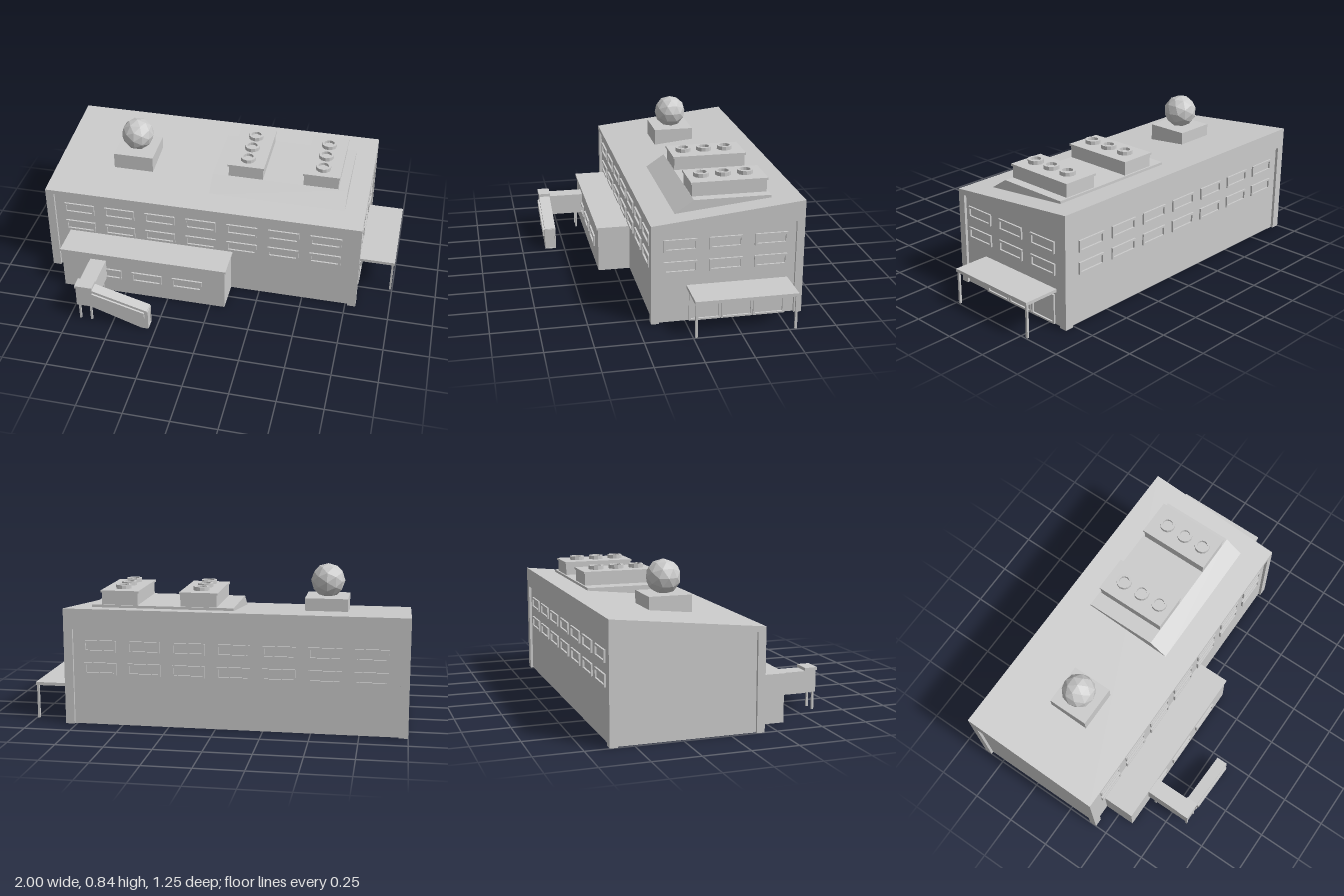
import * as THREE from 'three';

export function createModel() {
  const root = new THREE.Group();
  const mat = new THREE.MeshStandardMaterial({ color: 0xcccccc, flatShading: true });

  const add = (name, geometry, parent = root) => {
    const mesh = new THREE.Mesh(geometry, mat);
    mesh.name = name;
    parent.add(mesh);
    return mesh;
  };
  // Box given by its limits on each axis
  const box = (name, x0, x1, y0, y1, z0, z1, parent) => {
    const g = new THREE.BoxGeometry(x1 - x0, y1 - y0, z1 - z0);
    g.translate((x0 + x1) / 2, (y0 + y1) / 2, (z0 + z1) / 2);
    return add(name, g, parent);
  };
  const polygon = (pts) => new THREE.Shape(pts.map(([a, b]) => new THREE.Vector2(a, b)));
  const extrude = (shape, depth) =>
    new THREE.ExtrudeGeometry(shape, { depth, bevelEnabled: false });
  // Side profile of [z, y] points, extruded from x0 to x1
  const sideProfile = (name, pts, x0, x1) => {
    const g = extrude(polygon(pts.map(([z, y]) => [-z, y])), x1 - x0);
    g.rotateY(Math.PI / 2);
    return add(name, g.translate(x0, 0, 0));
  };
  // Front profile of [x, y] points, extruded from z0 to z1
  const frontProfile = (name, pts, z0, z1) =>
    add(name, extrude(polygon(pts), z1 - z0).translate(0, 0, z0));

  // Rectangular frame with an opening, used for windows and doors
  const frameGeometry = (w, h, border, depth) => {
    const rect = (a, b) => [[-a, -b], [a, -b], [a, b], [-a, b]];
    const shape = polygon(rect(w / 2, h / 2));
    const hole = polygon(rect(w / 2 - border, h / 2 - border));
    shape.holes.push(hole);
    return extrude(shape, depth);
  };
  const windowGeo = frameGeometry(0.175, 0.064, 0.011, 0.01);
  const addWindow = (x, y, z, turn = 0) => {
    const w = add('windowFrame', windowGeo);
    w.position.set(x, y, z);
    w.rotation.y = turn;
  };

  // Main hall: recessed walls, corner pillars, sloping roof
  const X0 = -1, X1 = 0.81, Z0 = -0.625, Z1 = 0.18, inset = 0.015;
  box('hallWalls', X0 + inset, X1 - inset, 0, 0.52, Z0 + inset, Z1 - inset);
  for (const x of [X0, X1 - 0.048])
    for (const z of [Z0, Z1 - 0.042])
      box('cornerPillar', x, x + 0.048, 0, 0.515, z, z + 0.042);
  sideProfile('slopingRoof', [[Z1, 0.515], [Z0, 0.515], [Z0, 0.625], [Z1, 0.54]], X0, X1);

  // Two rows of windows on the front, back and one end
  for (const y of [0.425, 0.305]) {
    for (let i = -3; i <= 3; i++) {
      addWindow(-0.095 + i * 0.2374, y, Z1 - inset);
      addWindow(-0.095 + i * 0.2374, y, Z0 + inset, Math.PI);
    }
    for (const z of [0.026, -0.212, -0.451]) addWindow(X1 - inset, y, z, Math.PI / 2);
  }

  // Front annex
  box('annex', -0.868, 0.083, 0, 0.25, 0.16, 0.345);
  box('annexRoof', -0.875, 0.09, 0.25, 0.262, 0.16, 0.353);
  for (const x of [-0.607, -0.37, -0.133]) addWindow(x, 0.13, 0.345);

  // Raised walkway, landing and covered ramp
  box('walkway', -0.7, -0.608, 0.097, 0.217, 0.34, 0.55);
  box('landing', -0.7, -0.608, 0.1, 0.222, 0.549, 0.61);
  box('landingCap', -0.705, -0.605, 0.22, 0.235, 0.545, 0.615);
  frontProfile('ramp',
    [[-0.61, 0.1], [-0.33, 0], [-0.295, 0], [-0.295, 0.125], [-0.61, 0.217]], 0.549, 0.613);
  frontProfile('rampSidePanel',
    [[-0.605, 0.16], [-0.31, 0.075], [-0.31, 0.115], [-0.605, 0.2]], 0.612, 0.624);
  const rampEnd = add('rampEndFrame', frameGeometry(0.064, 0.12, 0.006, 0.006));
  rampEnd.position.set(-0.296, 0.06, 0.581);
  rampEnd.rotation.y = Math.PI / 2;
  for (const x of [-0.691, -0.627])
    for (const z of [0.38, 0.595])
      box('walkwayLeg', x, x + 0.011, 0, 0.1, z, z + 0.011);

  // Loading canopy with posts
  box('canopy', 0.79, 1, 0.183, 0.2, -0.545, -0.008);
  for (const z of [-0.542, -0.023])
    box('canopyPost', 0.983, 0.995, 0, 0.185, z, z + 0.012);

  // Three loading doors under the canopy
  const doorGeo = frameGeometry(0.168, 0.165, 0.01, 0.01);
  for (let i = -1; i <= 1; i++) {
    const door = add('loadingDoorFrame', doorGeo);
    door.position.set(X1 - inset, 0.0825, -0.277 + i * 0.172);
    door.rotation.y = Math.PI / 2;
  }

  // Dome antenna on a plinth
  box('domePlinth', -0.665, -0.435, 0.565, 0.66, -0.315, -0.085);
  add('antennaDome', new THREE.IcosahedronGeometry(0.093, 1)).position.set(-0.55, 0.743, -0.2);

  // Level roof platform with a sloping front
  sideProfile('roofPlatform',
    [[0.043, 0.55], [-0.475, 0.55], [-0.475, 0.623], [-0.065, 0.623]], -0.075, 0.695);

  // Ventilation units, each with three open fan rings
  const ring = new THREE.LatheGeometry([
    [0, 0.006], [0.029, 0.006], [0.029, 0.022], [0.043, 0.022], [0.043, 0], [0, 0],
  ].reverse().map(([r, y]) => new THREE.Vector2(r, y)), 12);
  for (const x of [0.115, 0.543]) {
    const unit = new THREE.Group();
    unit.name = 'ventilationUnit';
    root.add(unit);
    box('unitBody', x - 0.098, x + 0.098, 0.62, 0.69, -0.465, -0.066, unit);
    box('unitCap', x - 0.104, x + 0.104, 0.688, 0.7, -0.471, -0.06, unit);
    for (const z of [-0.137, -0.255, -0.373])
      add('fanRing', ring, unit).position.set(x, 0.699, z);
  }

  return root;
}
